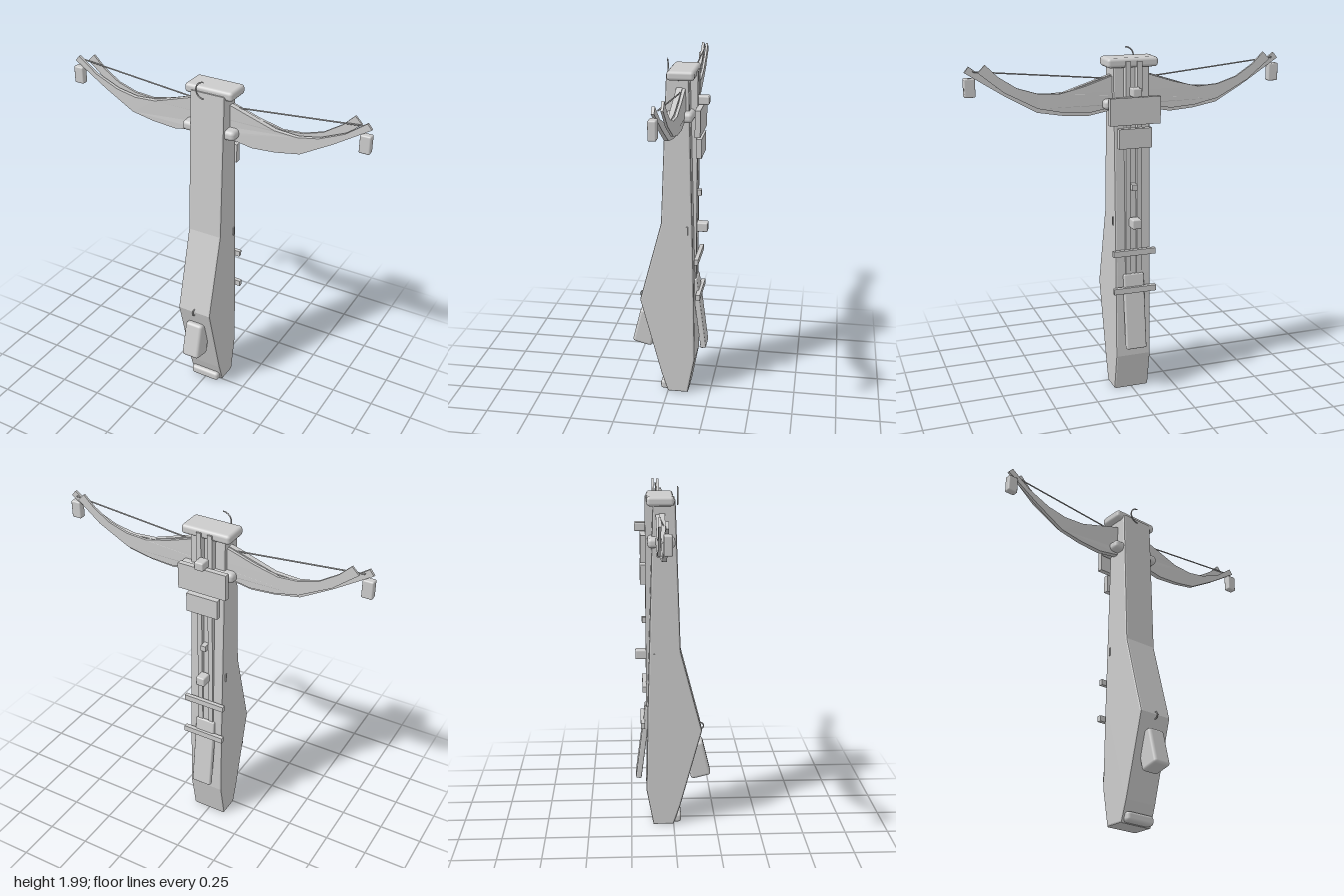
import * as THREE from 'three';
import { RoundedBoxGeometry } from 'three/addons/geometries/RoundedBoxGeometry.js';

export function createModel() {
  const group = new THREE.Group();
  const grey = new THREE.MeshStandardMaterial({ color: 0xcccccc });

  function add(name, geometry) {
    const mesh = new THREE.Mesh(geometry, grey);
    mesh.name = name;
    group.add(mesh);
    return mesh;
  }

  // box given by its extents, with optional rounded edges
  function box(name, [x0, x1], [y0, y1], [z0, z1], r = 0) {
    const s = [x1 - x0, y1 - y0, z1 - z0];
    const mesh = add(name, r ? new RoundedBoxGeometry(...s, 2, r) : new THREE.BoxGeometry(...s));
    mesh.position.set((x0 + x1) / 2, (y0 + y1) / 2, (z0 + z1) / 2);
    return mesh;
  }

  // stock: side profile (z, y) extruded across x with a small bevel
  const profile = [
    [0.0, 0.01], [0.04, 0.13], [0.165, 0.6], [0.04, 1.08], [0.01, 1.93],
    [-0.115, 1.93], [-0.15, 0.73], [-0.16, 0.23], [-0.12, 0.01],
  ];
  const side = new THREE.Shape(profile.map(([z, y]) => new THREE.Vector2(-z, y)));
  const stock = new THREE.ExtrudeGeometry(side, {
    depth: 0.19, bevelSize: 0.01, bevelThickness: 0.01, bevelOffset: -0.01, bevelSegments: 2,
  });
  stock.translate(0, 0, -0.095).rotateY(Math.PI / 2);
  add('stock', stock);

  // bow limbs: one mirrored outline, thinning towards the tips
  function limb(name, upper, lower, zMid, thick, tipZ, tipThick) {
    const half = [...upper, ...lower];
    const outline = [...half, ...half.map(([x, y]) => [-x, y]).reverse()];
    const geo = new THREE.ExtrudeGeometry(
      new THREE.Shape(outline.map((p) => new THREE.Vector2(...p))),
      { depth: 1, bevelEnabled: false });
    const pos = geo.attributes.position;
    for (let i = 0; i < pos.count; i++) {
      const t = Math.abs(pos.getX(i)) / 0.9;
      const mid = THREE.MathUtils.lerp(zMid, tipZ, t);
      pos.setZ(i, mid + (pos.getZ(i) - 0.5) * THREE.MathUtils.lerp(thick, tipThick, t));
    }
    geo.computeVertexNormals();
    add(name, geo);
  }
  limb('frontLimb',
    [[0.05, 1.875], [0.12, 1.86], [0.26, 1.815], [0.37, 1.78], [0.5, 1.772], [0.62, 1.795], [0.76, 1.855], [0.875, 1.94]],
    [[0.9, 1.91], [0.7, 1.782], [0.52, 1.68], [0.38, 1.655], [0.24, 1.645], [0.1, 1.67], [0.05, 1.68]],
    -0.065, 0.035, -0.063, 0.015);
  limb('backLimb',
    [[0.05, 1.87], [0.12, 1.855], [0.26, 1.81], [0.4, 1.777], [0.52, 1.785], [0.63, 1.82], [0.73, 1.885], [0.795, 1.95]],
    [[0.835, 1.91], [0.7, 1.8], [0.52, 1.705], [0.38, 1.675], [0.24, 1.665], [0.1, 1.69], [0.05, 1.7]],
    -0.089, 0.018, -0.096, 0.012);

  // bowstring and tip weights
  const string = new THREE.CurvePath();
  const knots = [[-0.86, 1.915], [0, 1.833], [0.86, 1.915]].map(([x, y]) => new THREE.Vector3(x, y, -0.078));
  string.add(new THREE.LineCurve3(knots[0], knots[1]));
  string.add(new THREE.LineCurve3(knots[1], knots[2]));
  add('bowstring', new THREE.TubeGeometry(string, 16, 0.004, 6));
  for (const s of [-1, 1]) {
    const c = 0.875 * s;
    box('tipWeight', [c - 0.03, c + 0.03], [1.78, 1.88], [-0.08, -0.038], 0.008);
  }

  // head block, cross peg and hook
  box('headBlock', [-0.145, 0.145], [1.905, 1.958], [-0.148, 0.002], 0.018);
  box('crossPeg', [-0.162, 0.162], [1.68, 1.737], [-0.145, 0.008], 0.022);
  const hook = add('hook', new THREE.TorusGeometry(0.048, 0.004, 6, 20, Math.PI));
  hook.rotation.z = Math.PI / 2;
  hook.position.set(-0.012, 1.948, 0.024);

  // twin rails along the back
  for (const s of [-1, 1]) {
    const c = 0.033 * s;
    box('rail', [c - 0.014, c + 0.014], [0.7, 1.94], [-0.157, -0.11]);
    box('sidePin', [0.105 * s - 0.005, 0.105 * s + 0.005], [1.02, 1.07], [-0.115, -0.105]);
  }

  // plates, sights and crossbars on the back
  box('upperPlate', [-0.145, 0.145], [1.6, 1.75], [-0.185, -0.155]);
  box('lowerPlate', [-0.095, 0.095], [1.47, 1.58], [-0.187, -0.155]);
  box('frontSight', [-0.027, 0.027], [1.755, 1.803], [-0.217, -0.15], 0.008);
  box('rearSight', [-0.027, 0.027], [1.015, 1.07], [-0.217, -0.15], 0.008);
  box('nut', [-0.015, 0.015], [1.228, 1.262], [-0.178, -0.13]);
  box('upperCrossbar', [-0.125, 0.125], [0.848, 0.882], [-0.178, -0.155]);
  box('lowerCrossbar', [-0.125, 0.125], [0.628, 0.662], [-0.19, -0.165]);

  // cocking lever
  const lever = box('lever', [-0.06, 0.06], [0.29, 0.735], [-0.193, -0.16], 0.008);
  lever.rotation.x = 0.13;

  // trigger side: grip, ring and foot
  const grip = box('grip', [-0.055, 0.055], [0.285, 0.505], [0.08, 0.2], 0.018);
  grip.rotation.x = -0.24;
  const ring = add('ring', new THREE.TorusGeometry(0.02, 0.004, 6, 16));
  ring.rotation.y = Math.PI / 2;
  ring.position.set(0, 0.595, 0.16);
  box('foot', [-0.092, 0.092], [0.015, 0.07], [-0.02, 0.046], 0.018);

  // stand on y = 0
  const bounds = new THREE.Box3().setFromObject(group);
  group.children.forEach((m) => { m.position.y -= bounds.min.y; });
  return group;
}
